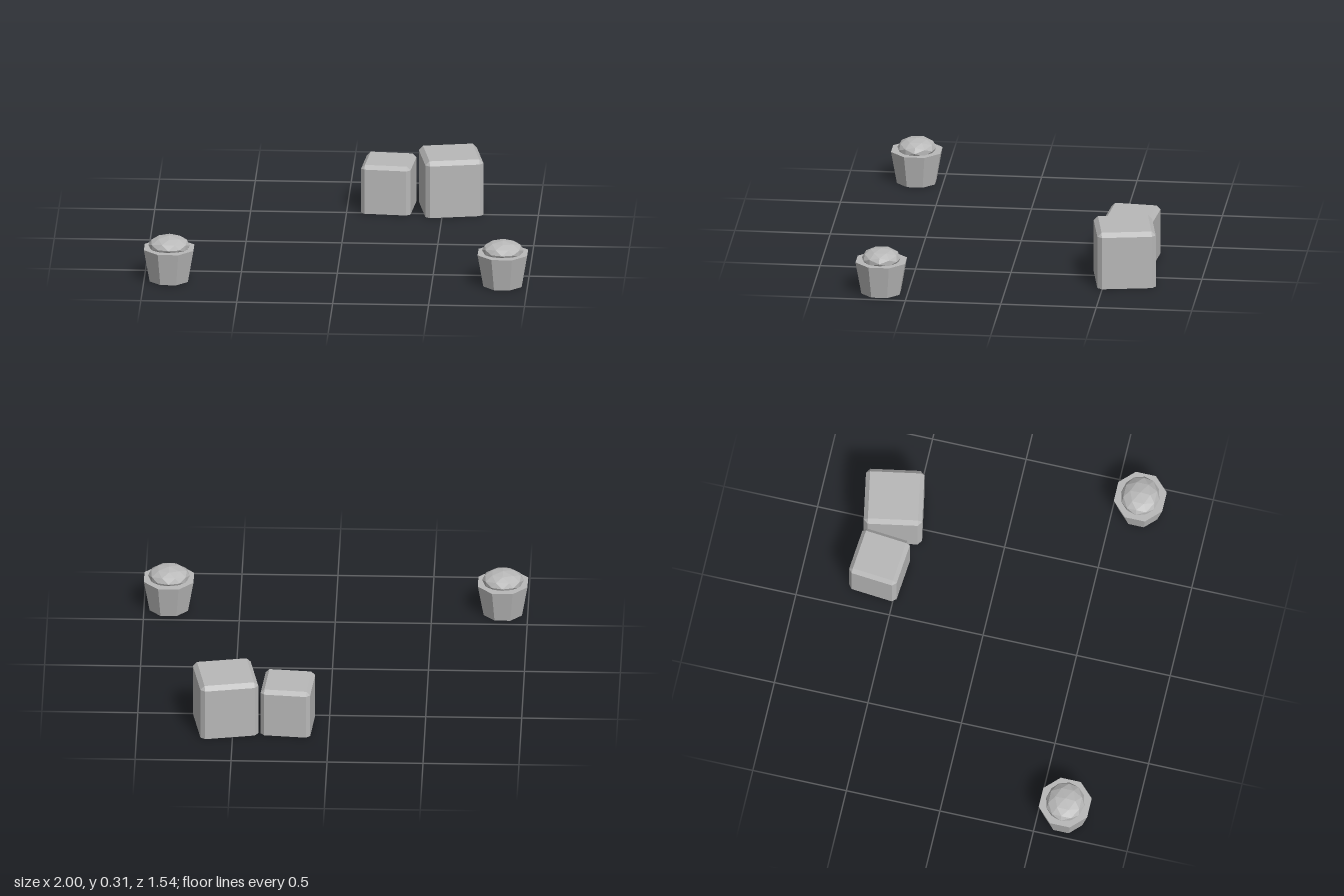
import * as THREE from 'three';

const stone = new THREE.MeshStandardMaterial({ color: 0xb8b8b8, flatShading: true, side: THREE.DoubleSide });
stone.name = 'plain grey';

function addMesh(parent, name, geometry) {
  const mesh = new THREE.Mesh(geometry, stone);
  mesh.name = name;
  parent.add(mesh);
  return mesh;
}

// Crate shell with chamfered uprights and top edges, open underneath
function crateGeometry(size, height, bevel) {
  const a = size / 2, c = a - bevel;
  const outer = [[a, -c], [a, c], [c, a], [-c, a], [-a, c], [-a, -c], [-c, -a], [c, -a]];
  const inner = outer.map(([x, z]) => [Math.sign(x) * c, Math.sign(z) * c]);
  const loops = [[outer, 0], [outer, height - bevel], [inner, height]];
  const pos = [];
  const put = (k, i) => {
    const [pts, y] = loops[k];
    pos.push(pts[i % 8][0], y, pts[i % 8][1]);
  };
  for (let i = 0; i < 8; i++) {
    for (let k = 0; k < 2; k++) {
      put(k, i); put(k + 1, i); put(k, i + 1);
      // the top loop collapses to a square, so its corners need one triangle only
      if (k === 0 || i % 2 === 0) { put(k, i + 1); put(k + 1, i); put(k + 1, i + 1); }
    }
  }
  // flat lid
  for (const i of [0, 2, 4, 6]) {
    pos.push(0, height, 0);
    put(2, i + 1); put(2, i);
  }
  const geo = new THREE.BufferGeometry();
  geo.setAttribute('position', new THREE.Float32BufferAttribute(pos, 3));
  geo.computeVertexNormals();
  return geo;
}

// Tapered octagonal planter with a faceted, squashed bush
function planter(name, x, z) {
  const group = new THREE.Group();
  group.name = name;
  const height = 0.175, top = 0.14;
  const pot = addMesh(group, 'pot', new THREE.CylinderGeometry(top, 0.108, height, 8, 1, true, Math.PI / 8));
  pot.position.y = height / 2;
  const soil = addMesh(group, 'potTop', new THREE.CircleGeometry(top, 8, Math.PI / 8).rotateX(-Math.PI / 2));
  soil.position.y = height;
  const bush = addMesh(group, 'bush', new THREE.IcosahedronGeometry(1, 1).rotateY(Math.PI / 2));
  bush.scale.set(0.109, 0.053, 0.102);
  bush.position.y = 0.187;
  group.position.set(x, 0, z);
  return group;
}

export function createModel() {
  const model = new THREE.Group();
  model.name = 'cratesAndPlanters';

  // planters at the two front corners
  model.add(planter('rightPlanter', -0.87, 0.64), planter('leftPlanter', 0.87, 0.64));

  // two crates at the back, turned slightly apart
  const large = addMesh(model, 'largeCrate', crateGeometry(0.305, 0.305, 0.022));
  large.position.set(0.54, 0, -0.6);
  large.rotation.y = 0.18;
  const small = addMesh(model, 'smallCrate', crateGeometry(0.26, 0.262, 0.02));
  small.position.set(0.215, 0, -0.603);
  small.rotation.y = -0.09;

  return model;
}
